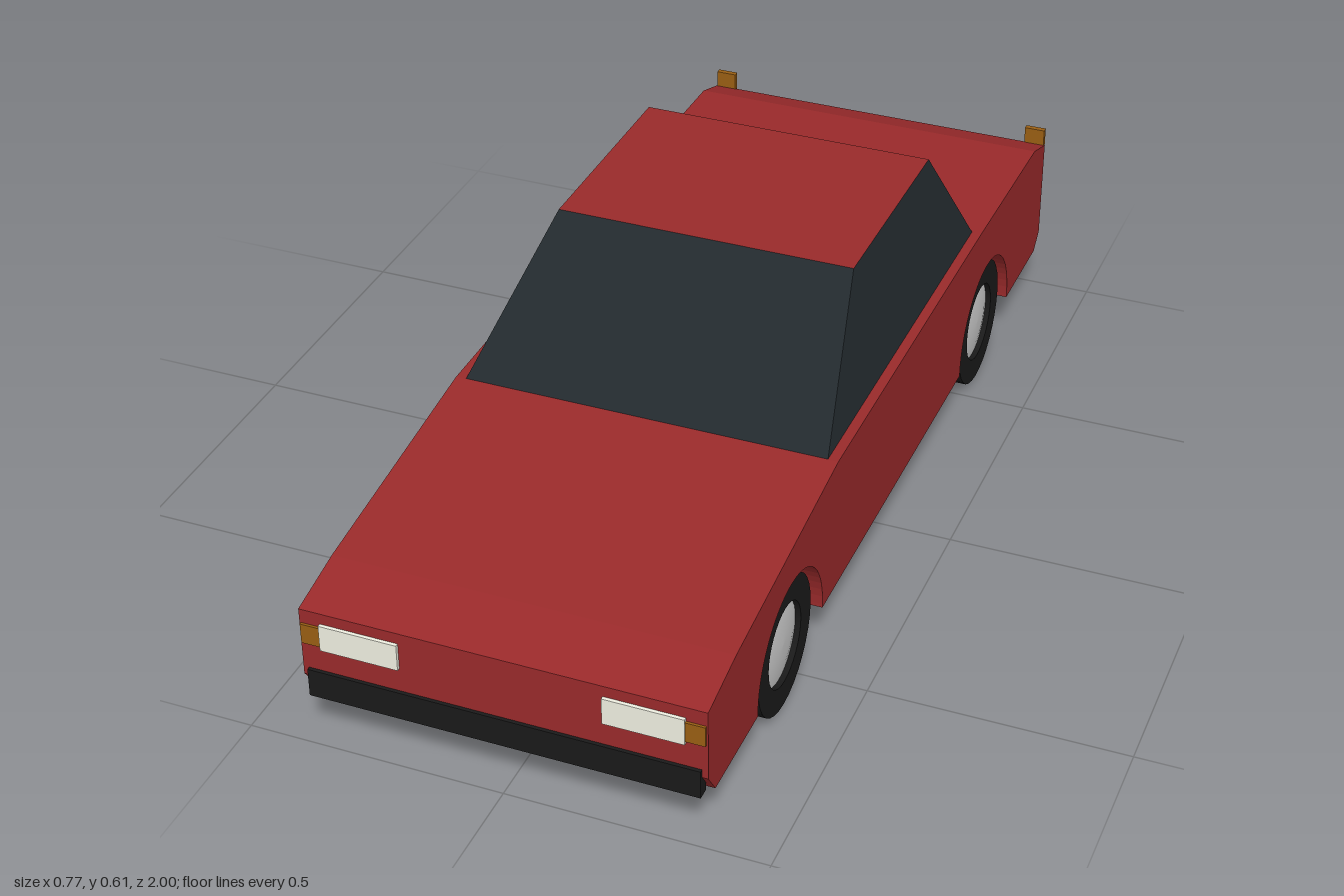
import * as THREE from 'three';

const material = (color, extra = {}) => new THREE.MeshStandardMaterial({ color, ...extra });
const red = material(0x9a2a2b, { flatShading: true });
const glass = material(0x22292d, { flatShading: true, side: THREE.DoubleSide });
const black = material(0x1a1a1a);
const tyreBlack = material(0x1a1a1a, { side: THREE.DoubleSide });
const silver = material(0xcccccc, { side: THREE.DoubleSide });
const lampWhite = material(0xf0f0e2);
const amber = material(0x9a5f14);
const lampRed = material(0x6e1014);

const HALF_WIDTH = 0.383;
const AXLES = [0.59, -0.583];

function add(group, name, geometry, mat) {
  const mesh = new THREE.Mesh(geometry, mat);
  mesh.name = name;
  group.add(mesh);
  return mesh;
}

// Box given by its lower and upper limits on each axis
function box(group, name, mat, [x0, x1], [y0, y1], [z0, z1]) {
  add(group, name, new THREE.BoxGeometry(x1 - x0, y1 - y0, z1 - z0), mat)
    .position.set((x0 + x1) / 2, (y0 + y1) / 2, (z0 + z1) / 2);
}

// Side profile with wheel arches, extruded across the width
function bodyGeometry() {
  const shape = new THREE.Shape();
  shape.moveTo(0.993, 0.15);
  shape.lineTo(0.993, 0.293);
  shape.lineTo(0.865, 0.32);
  shape.lineTo(0.355, 0.386);
  shape.lineTo(-0.52, 0.386);
  shape.lineTo(-0.91, 0.379);
  shape.lineTo(-0.993, 0.352);
  shape.lineTo(-0.993, 0.135);
  shape.lineTo(-0.96, 0.103);
  for (const z of [...AXLES].reverse()) {
    shape.lineTo(z - 0.167, 0.103);
    shape.absarc(z, 0.111, 0.167, Math.PI, 0, true);
    shape.lineTo(z + 0.167, 0.103);
  }
  shape.lineTo(0.96, 0.103);
  shape.closePath();
  return new THREE.ExtrudeGeometry(shape, { depth: HALF_WIDTH * 2, bevelEnabled: false, curveSegments: 14 })
    .rotateY(-Math.PI / 2).translate(HALF_WIDTH, 0, 0);
}

// Tapered cabin: four glass sides between a lower and an upper rectangle
function cabin() {
  const group = new THREE.Group();
  group.name = 'cabin';
  const ring = (x, y, front, back) => [[x, y, front], [x, y, back], [-x, y, back], [-x, y, front]];
  const low = ring(0.363, 0.385, 0.355, -0.522);
  const top = ring(0.3, 0.605, 0.05, -0.4);
  const quad = (a, b, c, d) => {
    const g = new THREE.BufferGeometry();
    g.setAttribute('position', new THREE.Float32BufferAttribute([a, b, c, a, c, d].flat(), 3));
    g.computeVertexNormals();
    return g;
  };
  ['leftWindow', 'rearWindow', 'rightWindow', 'windscreen'].forEach((name, i) => {
    const j = (i + 1) % 4;
    add(group, name, quad(low[i], low[j], top[j], top[i]), glass);
  });
  add(group, 'roof', quad(...top), red);
  return group;
}

// Wheel centred on its axle, with the outer face towards +x
function wheel() {
  const group = new THREE.Group();
  const v = (r, y) => new THREE.Vector2(r, y);
  const lathe = (points) => new THREE.LatheGeometry(points, 32).rotateZ(-Math.PI / 2);
  // Separate strips keep the tyre edges sharp
  const tyre = [[0.083, -0.043], [0.135, -0.043], [0.135, 0.043], [0.083, 0.043], [0.083, -0.043]];
  for (let i = 0; i < 4; i++) {
    add(group, 'tyre', lathe([v(...tyre[i]), v(...tyre[i + 1])]), tyreBlack);
  }
  add(group, 'hub', lathe([v(0.083, 0.032), v(0.06, 0.036), v(0.03, 0.039), v(0, 0.04)]), silver);
  add(group, 'hubBack', lathe([v(0, 0.01), v(0.083, 0.01)]), silver);
  return group;
}

export function createModel() {
  const car = new THREE.Group();
  car.name = 'car';
  add(car, 'body', bodyGeometry(), red);
  car.add(cabin());

  for (const side of [1, -1]) {
    const sideName = side > 0 ? 'left' : 'right';
    // Mirrors a range of x to the chosen side
    const across = (a, b) => (side > 0 ? [a, b] : [-b, -a]);

    AXLES.forEach((z, i) => {
      const w = wheel();
      w.name = sideName + (i ? 'RearWheel' : 'FrontWheel');
      w.position.set(side * 0.328, 0.135, z);
      if (side < 0) w.rotation.y = Math.PI;
      car.add(w);
    });

    box(car, sideName + 'Headlight', lampWhite, across(0.192, 0.343), [0.217, 0.271], [0.98, 1]);
    box(car, sideName + 'FrontIndicator', amber, across(0.343, 0.38), [0.223, 0.264], [0.98, 0.998]);
    box(car, sideName + 'TailLight', lampRed, across(0.19, 0.335), [0.278, 0.33], [-1, -0.98]);
    box(car, sideName + 'RearIndicator', amber, across(0.338, 0.381), [0.345, 0.389], [-1, -0.988]);
  }

  // Bumpers
  box(car, 'frontBumper', black, [-0.372, 0.372], [0.109, 0.167], [0.975, 1]);
  box(car, 'rearBumper', black, [-0.372, 0.372], [0.123, 0.18], [-1, -0.975]);
  return car;
}
